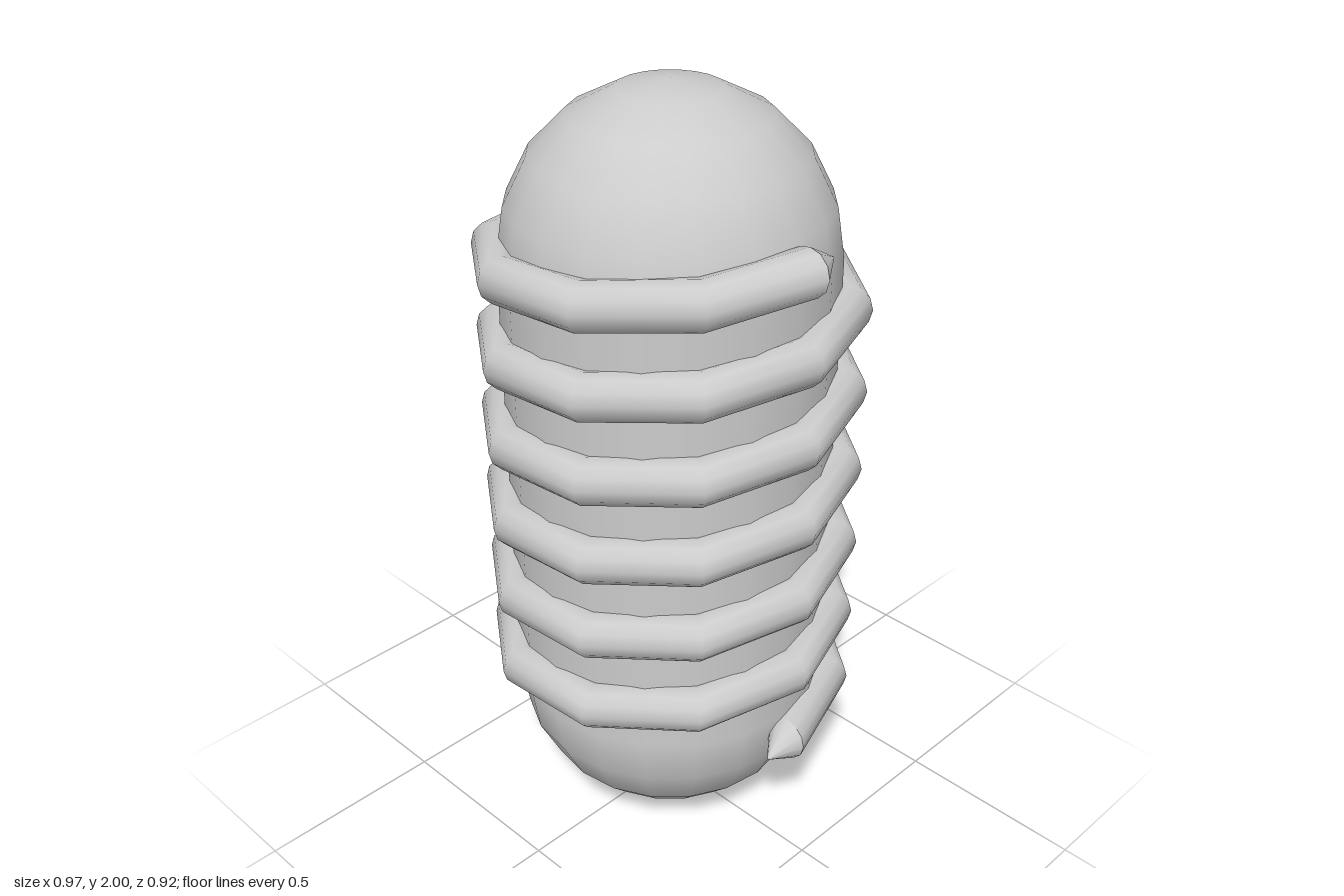
import * as THREE from 'three';

const TURNS = 6, PER_TURN = 10, SIDES = 12;
const COIL_R = 0.425, WIRE_R = 0.06, Y0 = 0.35, PITCH = 0.2185;

// Indexed surface through a list of rings, each holding SIDES points
function skin(rings) {
  const pos = rings.flat().flatMap((p) => [p.x, p.y, p.z]);
  const index = [];
  for (let i = 0; i < rings.length - 1; i++) {
    for (let j = 0; j < SIDES; j++) {
      const k = (j + 1) % SIDES;
      const a = i * SIDES + j, b = i * SIDES + k;
      const c = a + SIDES, d = b + SIDES;
      index.push(a, b, c, b, d, c);
    }
  }
  const g = new THREE.BufferGeometry();
  g.setAttribute('position', new THREE.Float32BufferAttribute(pos, 3));
  g.setIndex(index);
  g.computeVertexNormals();
  return g;
}

// Circle of the wire, standing in the radial plane of one coil corner
function coilRing(i) {
  const a = (i / PER_TURN) * Math.PI * 2;
  const y = Y0 + (i / PER_TURN) * PITCH;
  return Array.from({ length: SIDES }, (_, j) => {
    const t = (j / SIDES) * Math.PI * 2;
    const r = COIL_R + WIRE_R * Math.cos(t);
    return new THREE.Vector3(r * Math.cos(a), y + WIRE_R * Math.sin(t), -r * Math.sin(a));
  });
}

export function createModel() {
  const group = new THREE.Group();
  const material = new THREE.MeshStandardMaterial({ color: 0xcccccc, side: THREE.DoubleSide });
  const add = (name, geometry) => {
    const mesh = new THREE.Mesh(geometry, material);
    mesh.name = name;
    group.add(mesh);
    return mesh;
  };

  // Capsule core
  add('core', new THREE.CapsuleGeometry(0.41, 1.18, 5, 20)).position.y = 1;

  // Ten-sided helix wound around the core
  const rings = [];
  for (let i = 0; i <= TURNS * PER_TURN; i++) rings.push(coilRing(i));
  add('coil', skin(rings));

  // Pointed ends of the coil
  const point = (x, y, z) => Array.from({ length: SIDES }, () => new THREE.Vector3(x, y, z));
  add('lowerCoilTip', skin([point(0.45, Y0, 0.1), rings[0]]));
  add('upperCoilTip', skin([rings[rings.length - 1], point(0.41, Y0 + TURNS * PITCH, -0.105)]));

  return group;
}
